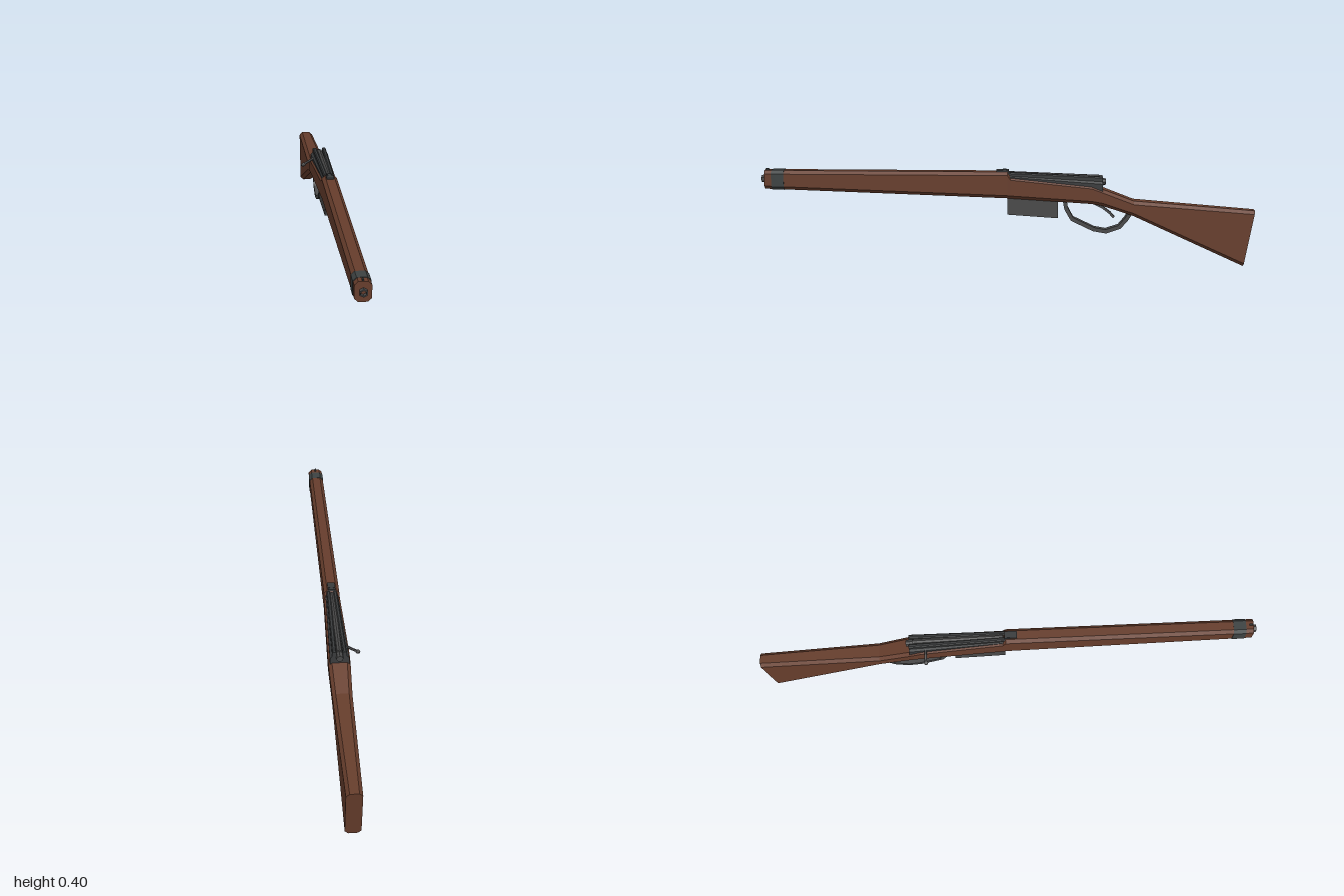
import * as THREE from 'three';

const paint = (name, hex) => {
  const m = new THREE.MeshStandardMaterial({ color: hex });
  m.name = name;
  m.flatShading = true;
  return m;
};

// Octagonal (chamfered box) cross-section; the ring may lean from zTop to zBottom
function octagon({ z, zb = z, bot, top, hw, c = 0.013 }, grow = 0) {
  const w = hw + grow, t = top + grow, b = bot - grow;
  const pts = [[w - c, b], [w, b + c], [w, t - c], [w - c, t], [c - w, t], [-w, t - c], [-w, b + c], [c - w, b]];
  return pts.map(([x, y]) => new THREE.Vector3(x, y, zb + (z - zb) * (y - b) / (t - b)));
}

// Skin over rings ordered from front to back, closed at both ends
function loft(rings) {
  const out = [], tri = (...v) => v.forEach(p => out.push(p.x, p.y, p.z));
  const n = rings[0].length, last = rings[rings.length - 1];
  for (let i = 0; i < rings.length - 1; i++) {
    const f = rings[i], b = rings[i + 1];
    for (let j = 0; j < n; j++) {
      const k = (j + 1) % n;
      tri(f[j], b[j], f[k]);
      tri(f[k], b[j], b[k]);
    }
  }
  for (let j = 1; j < n - 1; j++) {
    tri(rings[0][0], rings[0][j], rings[0][j + 1]);
    tri(last[0], last[j + 1], last[j]);
  }
  const g = new THREE.BufferGeometry();
  g.setAttribute('position', new THREE.Float32BufferAttribute(out, 3));
  g.computeVertexNormals();
  return g;
}

// Side outline given as [z, y] points, extruded across x
function sideProfile(pts, width) {
  const shape = new THREE.Shape(pts.map(([z, y]) => new THREE.Vector2(-z, y)));
  const g = new THREE.ExtrudeGeometry(shape, { depth: width, bevelEnabled: false });
  return g.translate(0, 0, -width / 2).rotateY(Math.PI / 2);
}

// Flat strip of even thickness following a [z, y] path
function ribbon(path, thick, width) {
  const side = s => path.map(([z, y], i) => {
    const a = path[Math.max(i - 1, 0)], b = path[Math.min(i + 1, path.length - 1)];
    const dz = b[0] - a[0], dy = b[1] - a[1], l = Math.hypot(dz, dy);
    return [z - s * dy / l * thick / 2, y + s * dz / l * thick / 2];
  });
  return sideProfile([...side(1), ...side(-1).reverse()], width);
}

export function createModel() {
  const group = new THREE.Group();
  const wood = paint('walnut', 0x663d2c);
  const steel = paint('steel', 0x484848);
  const dark = paint('darkSteel', 0x393b3c);
  const band = paint('bandSteel', 0x3d4242);
  const add = (name, geo, mat, x = 0, y = 0, z = 0) => {
    const m = new THREE.Mesh(geo, mat);
    m.name = name;
    m.position.set(x, y, z);
    group.add(m);
    return m;
  };

  // Wooden stock from muzzle to butt
  const front = { z: 0.985, bot: 0.314, top: 0.389, hw: 0.03 };
  const mid = { z: 0, bot: 0.278, top: 0.386, hw: 0.031 };
  add('stock', loft([
    front, mid,
    { z: -0.012, bot: 0.277, top: 0.368, hw: 0.032 },
    { z: -0.34, bot: 0.258, top: 0.335, hw: 0.042 },
    { z: -0.385, bot: 0.25, top: 0.318, hw: 0.042 },
    { z: -0.51, bot: 0.208, top: 0.27, hw: 0.038 },
    { z: -1, zb: -0.96, bot: 0, top: 0.23, hw: 0.03 },
  ].map(s => octagon(s))), wood);

  // Band wrapped around the muzzle end
  const along = z => {
    const t = (front.z - z) / (front.z - mid.z), mix = k => THREE.MathUtils.lerp(front[k], mid[k], t);
    return { z, bot: mix('bot'), top: mix('top'), hw: mix('hw') };
  };
  add('muzzleBand', loft([0.955, 0.905].map(z => octagon(along(z), 0.0015))), band);

  // Hexagonal barrel mouth
  const mouth = [[0.01, 0], [0.015, 0], [0.015, 0.03], [0.01, 0.03], [0.01, 0]].map(p => new THREE.Vector2(...p));
  add('barrelMouth', new THREE.LatheGeometry(mouth, 6).rotateX(Math.PI / 2), steel, 0, 0.352, 0.97);

  // Receiver with two rails and the bolt lying between them
  add('receiver', loft([
    { z: 0, bot: 0.34, top: 0.374, hw: 0.025, c: 0.008 },
    { z: -0.385, bot: 0.295, top: 0.352, hw: 0.037, c: 0.012 },
  ].map(s => octagon(s))), dark);
  for (const s of [-1, 1]) {
    const rail = loft([[0, 0.384, 0.013], [-0.385, 0.368, 0.02]].map(([z, top, x]) =>
      octagon({ z, bot: top - 0.03, top, hw: 0.008, c: 0.004 }).map(p => p.setX(p.x + s * x))));
    add(s > 0 ? 'leftRail' : 'rightRail', rail, dark);
  }
  const bolt = add('bolt', new THREE.CylinderGeometry(0.012, 0.012, 0.36, 8).rotateX(Math.PI / 2), steel, 0, 0.363, -0.19);
  bolt.rotation.x = -0.045;
  add('cockingPiece', new THREE.CylinderGeometry(0.016, 0.013, 0.03, 8).rotateX(Math.PI / 2), steel, 0, 0.345, -0.382);

  // Bolt handle and knob on the right side
  const arm = new THREE.CatmullRomCurve3([[-0.01, 0.352], [-0.035, 0.342], [-0.055, 0.329], [-0.073, 0.319]]
    .map(([x, y]) => new THREE.Vector3(x, y, -0.32)));
  add('boltHandle', new THREE.TubeGeometry(arm, 5, 0.005, 6), steel);
  const knob = add('boltKnob', new THREE.SphereGeometry(0.009, 8, 6), steel, -0.075, 0.317, -0.32);
  knob.scale.set(1.2, 0.9, 1);
  knob.rotation.z = 0.5;

  // Sights
  add('rearSightBase', new THREE.BoxGeometry(0.03, 0.008, 0.05), dark, 0, 0.388, 0.02);
  for (const x of [-0.01, 0, 0.01])
    add('sightProng', new THREE.BoxGeometry(0.006, 0.01, 0.014), dark, x, 0.39, x ? 0.012 : 0.975);

  // Magazine, trigger guard and trigger
  add('magazine', sideProfile([[0, 0.29], [0, 0.21], [-0.205, 0.196], [-0.205, 0.28]], 0.035), steel);
  add('triggerGuard', ribbon([[-0.232, 0.268], [-0.238, 0.235], [-0.262, 0.192], [-0.35, 0.15], [-0.4, 0.141],
    [-0.455, 0.16], [-0.482, 0.192], [-0.5, 0.22]], 0.016, 0.034), steel);
  add('trigger', ribbon([[-0.335, 0.265], [-0.385, 0.24], [-0.415, 0.217], [-0.432, 0.198]], 0.01, 0.014), steel);

  group.children.forEach(m => { m.position.x += 0.021; });
  return group;
}
